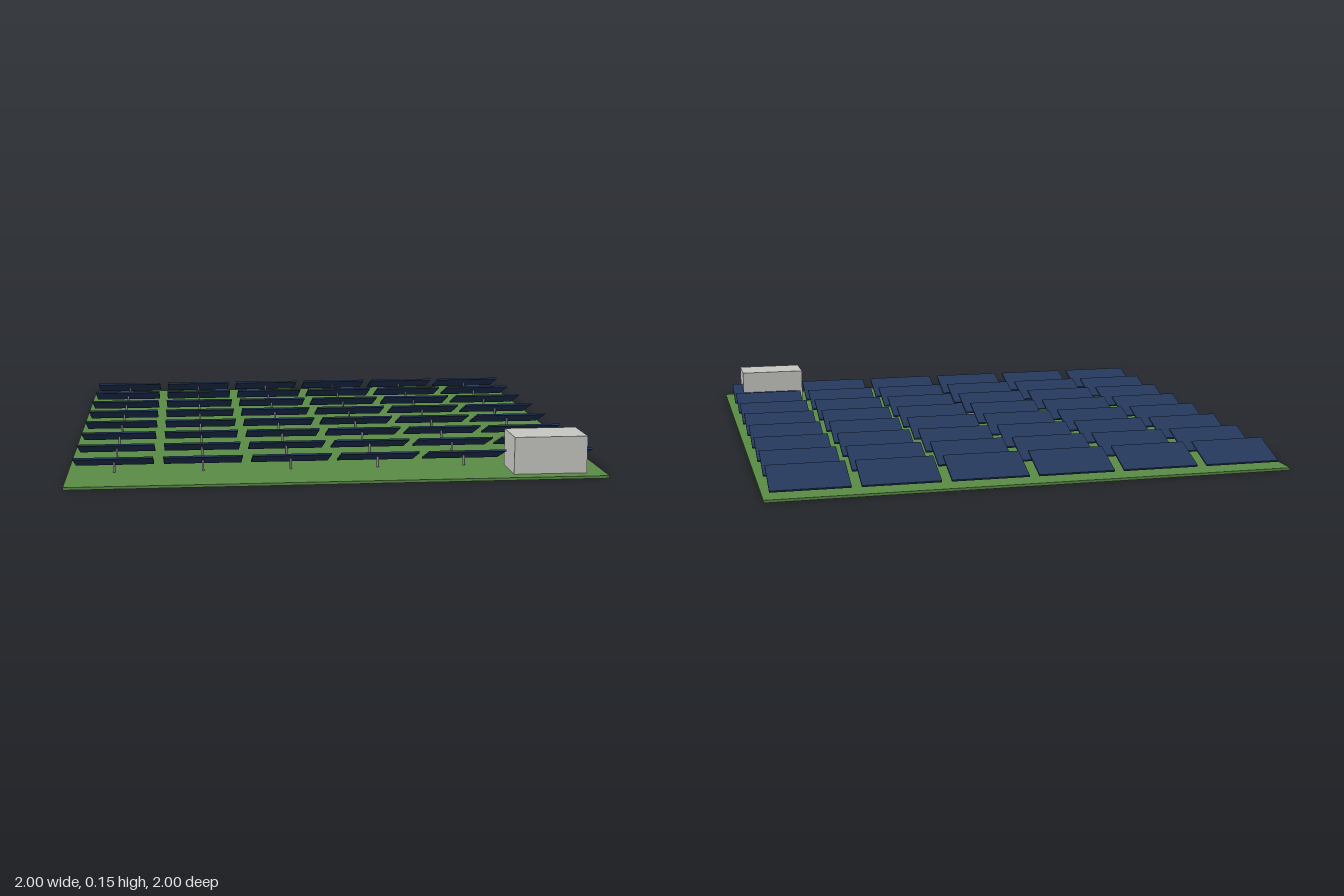
import * as THREE from 'three';

const mat = (name, color) => {
  const m = new THREE.MeshStandardMaterial({ color });
  m.name = name;
  return m;
};

export function createModel() {
  const grass = mat('grass green', 0x5a8c46);
  const navy = mat('panel navy', 0x25395d);
  const steel = mat('post grey', 0x8a8c8e);
  const wall = mat('cabin light grey', 0xc8c8c4);

  const model = new THREE.Group();
  model.name = 'solarField';

  const add = (parent, name, geometry, material, x, y, z) => {
    const mesh = new THREE.Mesh(geometry, material);
    mesh.name = name;
    mesh.position.set(x, y, z);
    parent.add(mesh);
    return mesh;
  };

  // Ground slab and equipment cabin
  add(model, 'ground', new THREE.BoxGeometry(2, 0.01, 2), grass, 0, 0.005, 0);
  add(model, 'cabin', new THREE.BoxGeometry(0.276, 0.14, 0.17), wall, 0.791, 0.08, 0.863);

  // Tilted panels on posts: the high edge faces the front
  const rows = 8, columns = 6, tilt = THREE.MathUtils.degToRad(20);
  const panelGeometry = new THREE.BoxGeometry(0.294, 0.007, 0.167);
  const postGeometry = new THREE.CylinderGeometry(0.005, 0.005, 0.042, 6);

  for (let r = 0; r < rows; r++) {
    const row = new THREE.Group();
    row.name = `panelRow${r + 1}`;
    row.position.z = -0.867 + r * 0.235;
    model.add(row);
    for (let c = 0; c < columns; c++) {
      const x = (c - (columns - 1) / 2) * 0.331;
      add(row, 'panel', panelGeometry, navy, x, 0.053, 0).rotation.x = -tilt;
      add(row, 'post', postGeometry, steel, x, 0.03, 0);
    }
  }
  return model;
}
